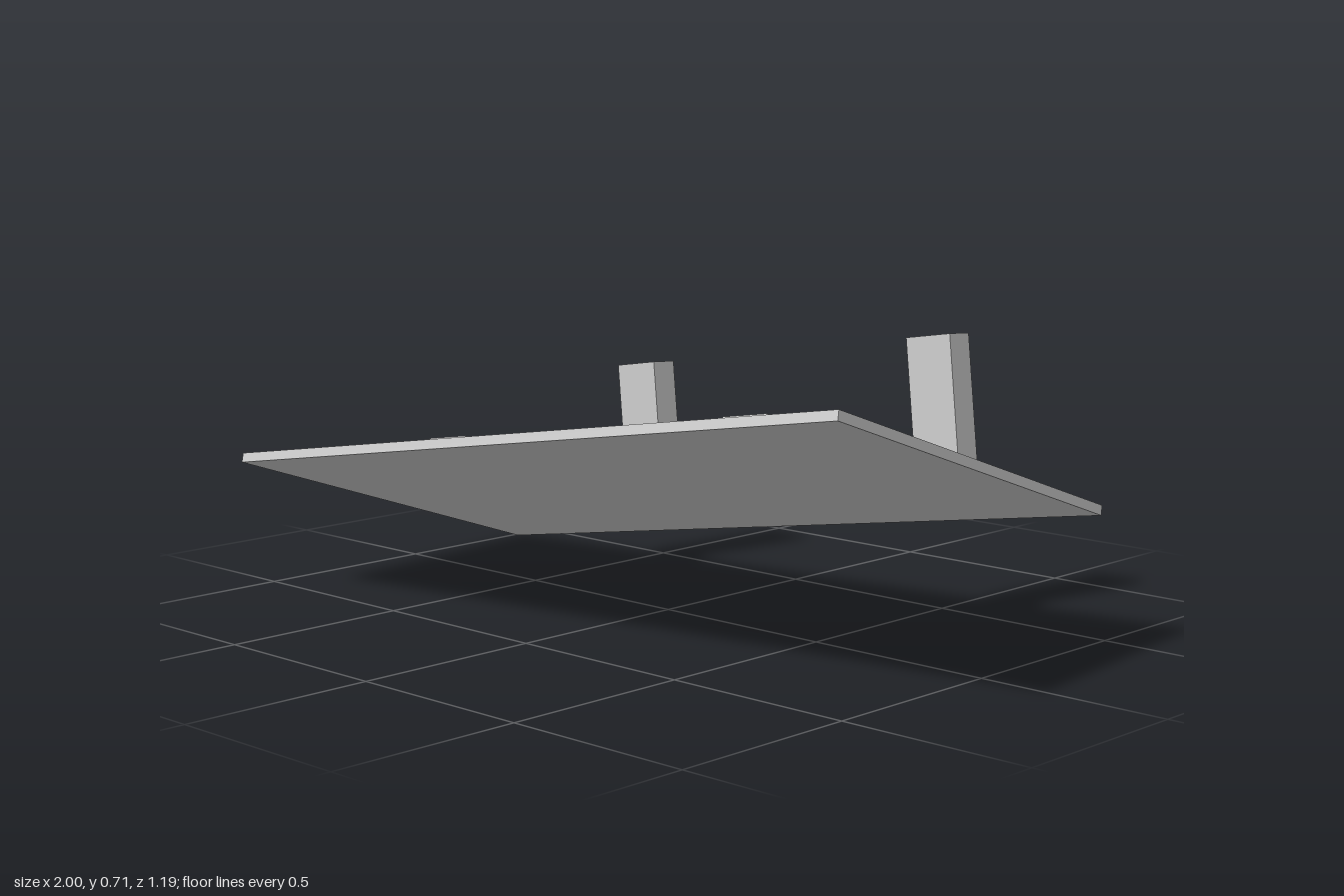
import * as THREE from 'three';

export function createModel() {
  const root = new THREE.Group();
  root.name = 'tiltedSeat';
  const grey = new THREE.MeshStandardMaterial({ color: 0xcccccc });
  grey.name = 'plainGrey';

  // The whole piece is built level in its own frame, then tilted into place
  const body = new THREE.Group();
  body.name = 'boardWithBrackets';
  root.add(body);

  const thickness = 0.025;
  const board = new THREE.Mesh(new THREE.BoxGeometry(2.009, thickness, 1.04), grey);
  board.name = 'board';
  board.position.y = thickness / 2;
  body.add(board);

  // Side profile of a bracket (depth, height): flat arm plus a post leaning over it
  const profile = new THREE.Shape([
    [0.252, 0.025], [0.252, 0.102], [-0.52, 0.102],
    [-0.422, 0.464], [-0.502, 0.486], [-0.627, 0.025],
  ].map(([z, y]) => new THREE.Vector2(z, y)));
  const width = 0.137;
  const bracketGeometry = new THREE.ExtrudeGeometry(profile, { depth: width, bevelEnabled: false });
  bracketGeometry.translate(0, 0, -width / 2);
  bracketGeometry.rotateY(-Math.PI / 2);

  for (const [name, x] of [['leftBracket', 0.508], ['rightBracket', -0.509]]) {
    const bracket = new THREE.Mesh(bracketGeometry, grey);
    bracket.name = name;
    bracket.position.x = x;
    body.add(bracket);
  }

  // Tilt: the board's long edge, its normal and its depth direction
  const along = new THREE.Vector3(0.9867, 0.1568, -0.0443).normalize();
  const depth = new THREE.Vector3(-0.0115, 0.327, 0.945);
  const normal = depth.clone().cross(along).normalize();
  depth.copy(along).cross(normal);
  body.quaternion.setFromRotationMatrix(new THREE.Matrix4().makeBasis(along, normal, depth));
  body.position.set(0, 0.3325, 0.062);

  return root;
}
